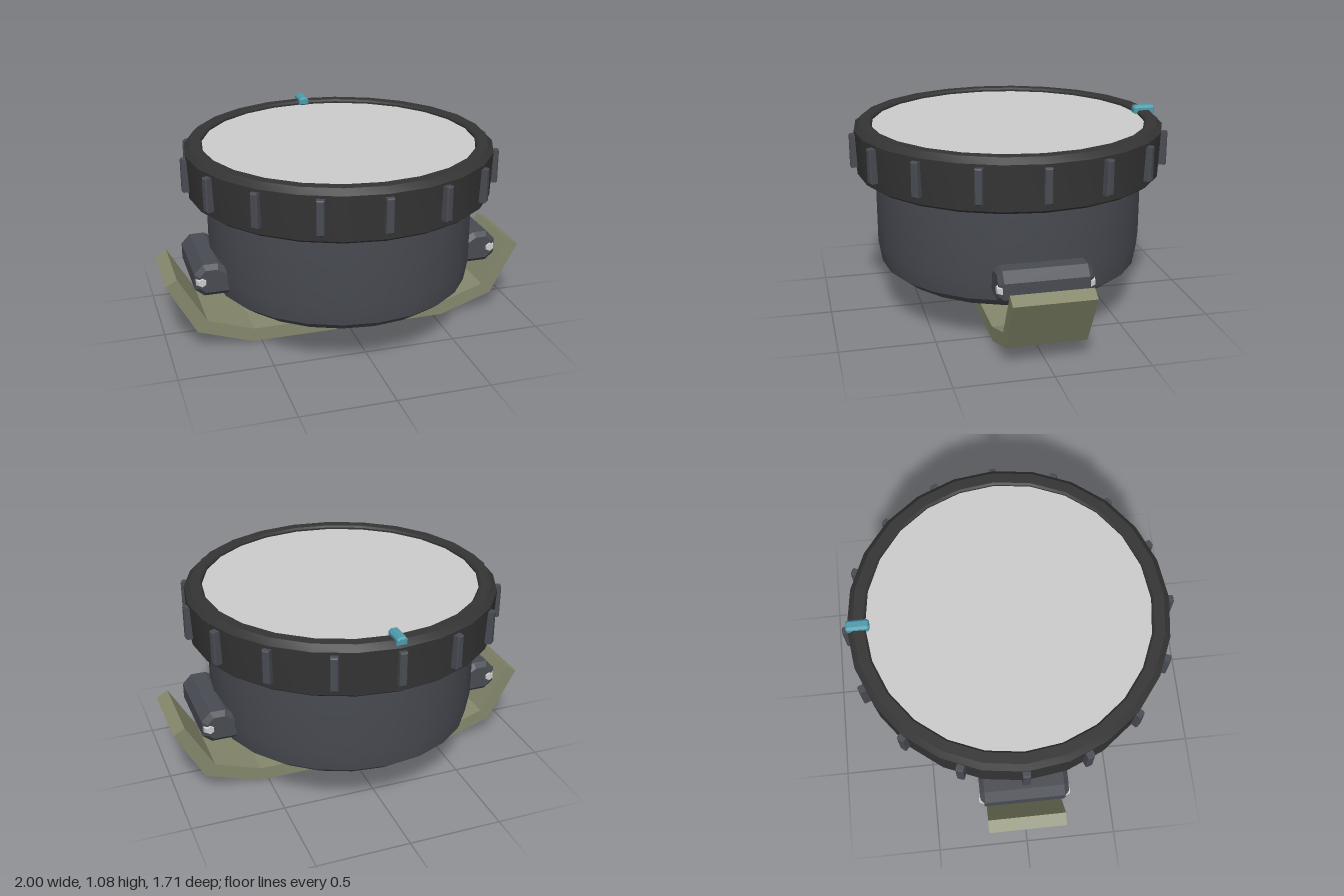
import * as THREE from 'three';
import { toCreasedNormals } from 'three/addons/utils/BufferGeometryUtils.js';

const paint = (color) => new THREE.MeshStandardMaterial({ color });

function add(parent, name, geometry, material) {
  const mesh = new THREE.Mesh(geometry, material);
  mesh.name = name;
  parent.add(mesh);
  return mesh;
}

const points = (list) => list.map(([x, y]) => new THREE.Vector2(x, y));
const lathe = (list) => toCreasedNormals(new THREE.LatheGeometry(points(list), 24), 0.45);

// Outline in x/y, extruded evenly about z = 0, with an optional bevel inside the depth
function extrude(list, depth, bevel = 0) {
  const geometry = new THREE.ExtrudeGeometry(new THREE.Shape(points(list)), {
    depth: depth - 2 * bevel, bevelEnabled: bevel > 0, bevelThickness: bevel,
    bevelSize: bevel, bevelOffset: -bevel, bevelSegments: 1,
  });
  return geometry.translate(0, 0, -depth / 2 + bevel);
}

export function createModel() {
  const model = new THREE.Group();
  model.name = 'roundLamp';
  const black = paint(0x343434);
  const slate = paint(0x484b52);
  const olive = paint(0x85886c);
  const teal = paint(0x4f9bac);
  const grey = paint(0xcccccc);

  // Housing drum with a chamfered base
  add(model, 'housing', lathe([
    [0, 0.225], [0.635, 0.225], [0.705, 0.28], [0.725, 0.4], [0.725, 0.8],
  ]), slate);

  // Bezel ring with a short inner lip
  add(model, 'bezelRing', lathe([
    [0.70, 0.77], [0.8, 0.77], [0.82, 0.785], [0.83, 1.02], [0.8, 1.05],
    [0.745, 1.05], [0.735, 1.04], [0.735, 1.02],
  ]), black);

  // Flat face set just below the lip
  const face = add(model, 'facePlate', new THREE.CircleGeometry(0.74, 24, Math.PI / 2), grey);
  face.rotation.x = -Math.PI / 2;
  face.position.y = 1.03;

  // Sixteen grip ribs around the bezel
  const ribShape = extrude([
    [-0.02, -0.09], [0.02, -0.09], [0.02, 0.09], [-0.02, 0.09],
  ], 0.08, 0.006);
  for (let i = 0; i < 16; i++) {
    const angle = (i / 16) * Math.PI * 2;
    const rib = add(model, 'gripRib', ribShape, slate);
    rib.position.set(Math.sin(angle) * 0.816, 0.915, Math.cos(angle) * 0.816);
    rib.rotation.y = angle;
  }

  // Index marker on the back of the rim
  const marker = add(model, 'indexMarker', extrude([
    [-0.027, 1.03], [0.027, 1.03], [0.027, 1.063], [0.015, 1.075],
    [-0.015, 1.075], [-0.027, 1.063],
  ], 0.12, 0.008), teal);
  marker.position.z = -0.772;

  // Side lugs with a hexagonal pin head at each end
  const lugOutline = [
    [0.64, 0.315], [0.8, 0.315], [0.848, 0.355], [0.848, 0.44],
    [0.8, 0.49], [0.72, 0.49], [0.64, 0.44],
  ];
  for (const side of [1, -1]) {
    const lug = new THREE.Group();
    lug.name = side > 0 ? 'leftLug' : 'rightLug';
    lug.rotation.y = side > 0 ? 0 : Math.PI;
    model.add(lug);
    add(lug, 'lugBlock', extrude(lugOutline, 0.48, 0.025), slate);
    for (const end of [1, -1]) {
      const pin = add(lug, 'pinHead',
        new THREE.CylinderGeometry(0.022, 0.037, 0.03, 6).toNonIndexed(), grey);
      pin.geometry.computeVertexNormals();
      pin.rotation.x = end * Math.PI / 2;
      pin.position.set(0.812, 0.4, end * 0.232);
    }
  }

  // Bent strap bracket beneath the housing
  const outer = [[0.55, 0], [0.845, 0.1], [1, 0.385]];
  const inner = [[0.938, 0.42], [0.79, 0.16], [0.54, 0.075]];
  const half = [...outer, ...inner];
  const mirrored = half.map(([x, y]) => [-x, y]).reverse();
  add(model, 'strapBracket', extrude([...half, ...mirrored], 0.42), olive);

  return model;
}
